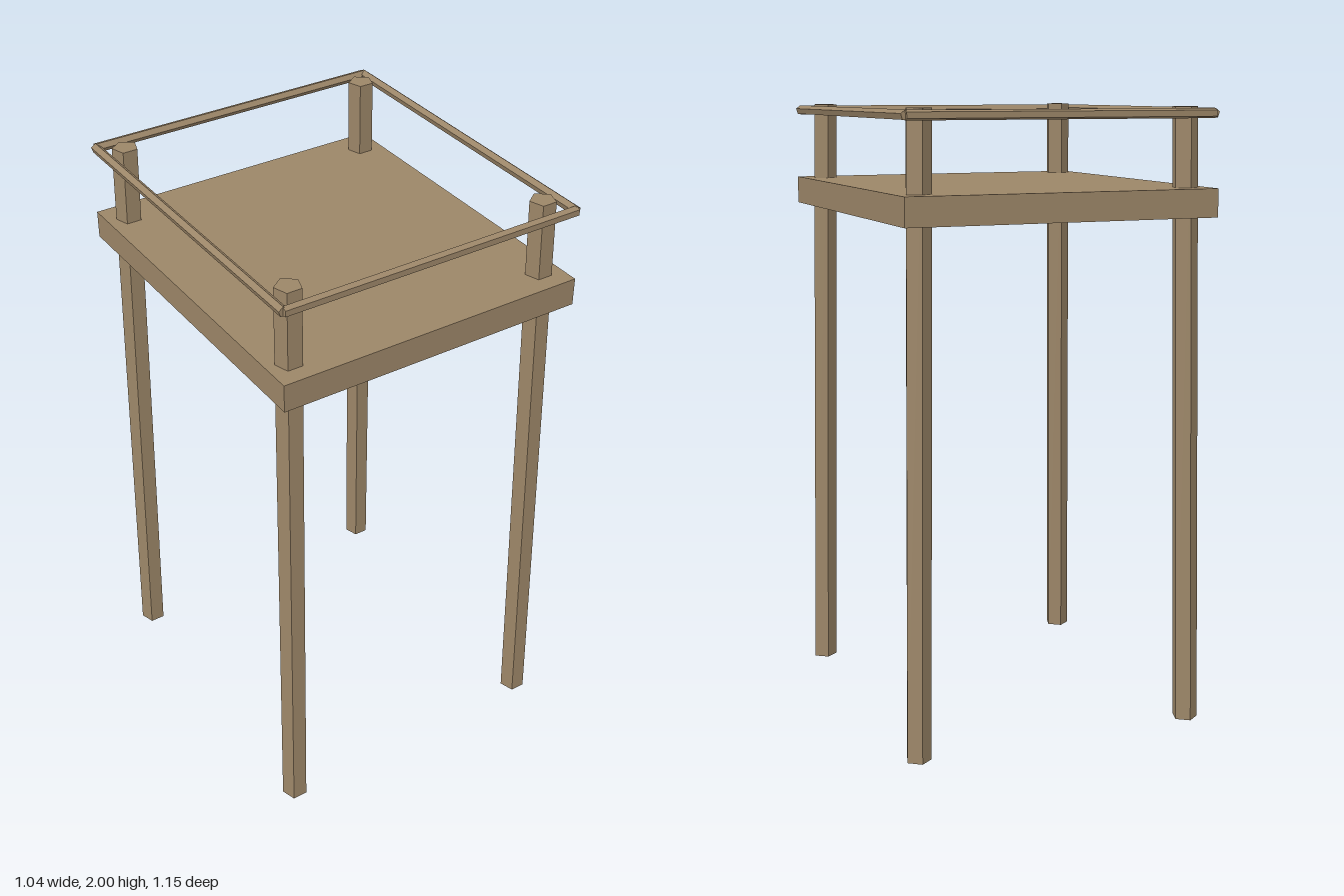
import * as THREE from 'three';

export function createModel() {
  const wood = new THREE.MeshStandardMaterial({ color: 0x9c8668, flatShading: true });
  wood.name = 'wood';
  const group = new THREE.Group();
  group.name = 'raisedPlatform';

  const add = (name, geometry, x, y, z) => {
    const mesh = new THREE.Mesh(geometry, wood);
    mesh.name = name;
    mesh.position.set(x, y, z);
    group.add(mesh);
  };
  // Five-sided pole; turn sets the direction of its ridge
  const pole = (radius, length, turn = 0) =>
    new THREE.CylinderGeometry(radius, radius, length, 5, 1, false, turn);

  // Deck
  add('platform', new THREE.BoxGeometry(1.03, 0.09, 1.15), 0, 1.705, 0);

  // Legs, splayed outwards towards the ground
  for (const sx of [-1, 1]) {
    for (const sz of [-1, 1]) {
      const leg = pole(0.042, 2, Math.PI);
      const p = leg.attributes.position;
      for (let i = 0; i < p.count; i++) {
        const y = p.getY(i);
        p.setX(i, p.getX(i) - sx * y * 0.015);
        p.setZ(i, p.getZ(i) - sz * y * 0.018);
      }
      leg.computeVertexNormals();
      add((sz > 0 ? 'front' : 'back') + (sx > 0 ? 'Left' : 'Right') + 'Leg',
        leg, sx * 0.455, 1, sz * 0.5);
    }
  }

  // Handrails around the top
  for (const s of [-1, 1]) {
    const across = pole(0.016, 1.01, s > 0 ? Math.PI : 0).rotateZ(Math.PI / 2);
    add(s > 0 ? 'frontRail' : 'backRail', across, 0, 1.98, s * 0.562);
    const along = pole(0.016, 1.124).rotateX(-Math.PI / 2);
    add(s > 0 ? 'leftRail' : 'rightRail', along, s * 0.504, 1.98, 0);
  }
  return group;
}
